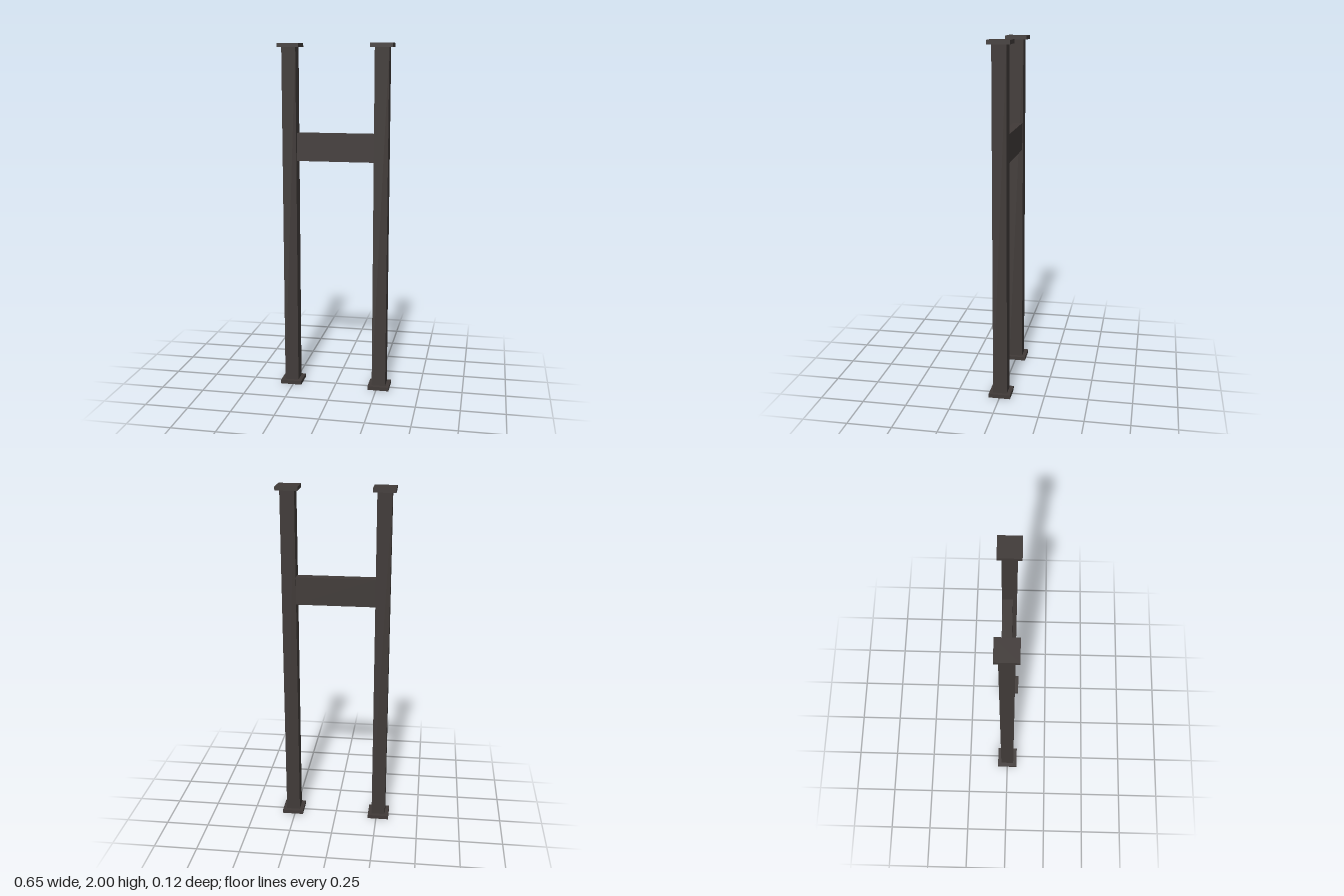
import * as THREE from 'three';

export function createModel() {
  const model = new THREE.Group();
  model.name = 'postFrame';
  const darkMetal = new THREE.MeshStandardMaterial({ color: 0x403a38 });
  darkMetal.name = 'darkMetal';

  const box = (parent, name, size, position) => {
    const mesh = new THREE.Mesh(new THREE.BoxGeometry(...size), darkMetal);
    mesh.name = name;
    mesh.position.set(...position);
    parent.add(mesh);
  };

  const plateHeight = 0.022;
  const plateWidth = 0.124;

  // Two square posts, each with a base plate and a cap plate
  for (const [side, sign] of [['left', 1], ['right', -1]]) {
    const post = new THREE.Group();
    post.name = side + 'Post';
    post.position.x = sign * 0.262;
    box(post, 'shaft', [0.08, 2 - 2 * plateHeight, 0.08], [0, 1, 0]);
    box(post, 'basePlate', [plateWidth, plateHeight, plateWidth], [0, plateHeight / 2, 0]);
    box(post, 'capPlate', [plateWidth, plateHeight, plateWidth], [0, 2 - plateHeight / 2, 0]);
    model.add(post);
  }

  // Crossbar, set slightly toward the back
  box(model, 'crossbar', [0.444, 0.158, 0.054], [0, 1.42, -0.009]);

  return model;
}
